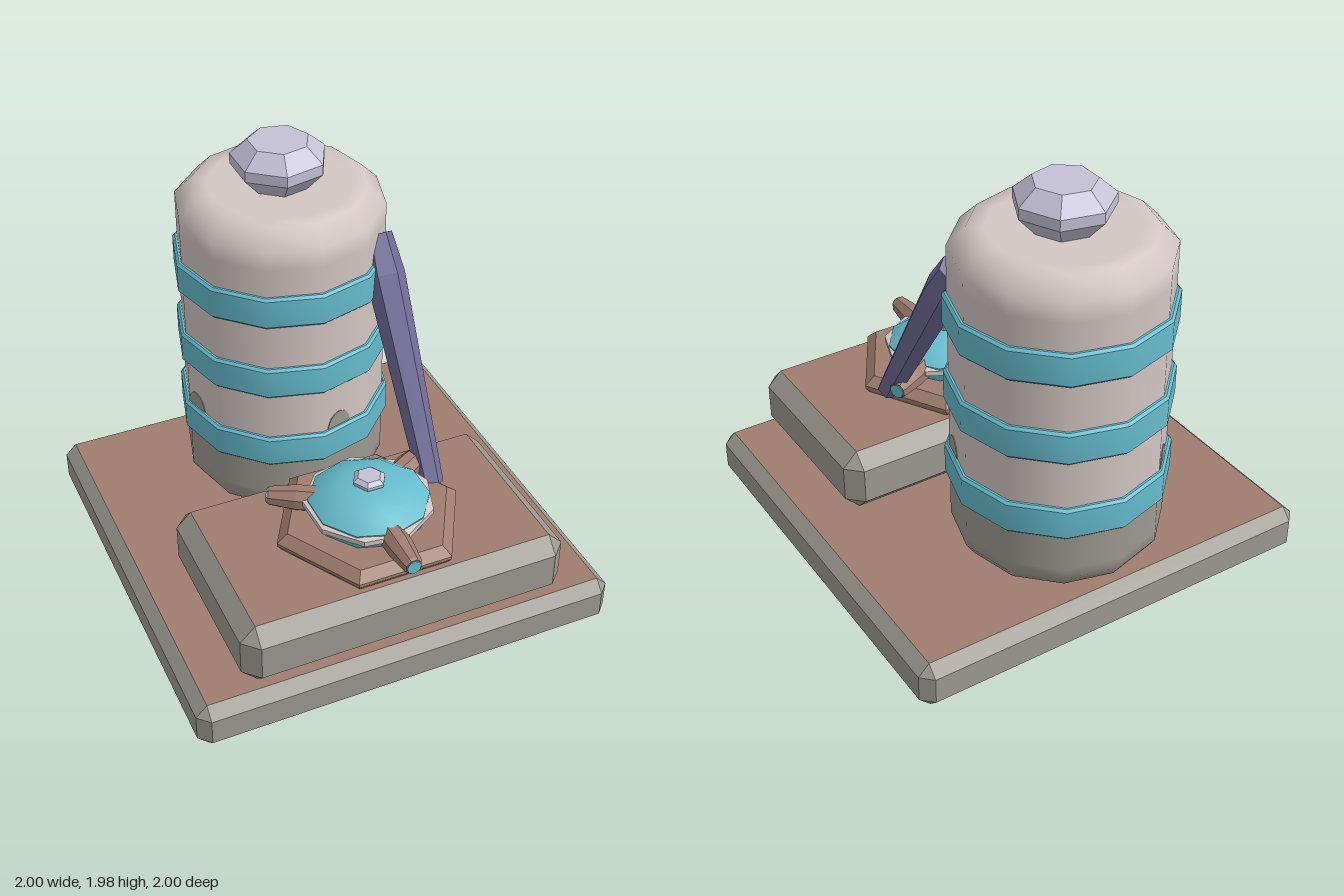
import * as THREE from 'three';
import { toCreasedNormals } from 'three/addons/utils/BufferGeometryUtils.js';
import { ConvexGeometry } from 'three/addons/geometries/ConvexGeometry.js';

const mat = (name, color) => {
  const m = new THREE.MeshStandardMaterial({ color });
  m.name = name;
  return m;
};

export function createModel() {
  const stone = mat('stone grey', 0x9c9a90);
  const clay = mat('clay brown', 0x9e7d6e);
  const shell = mat('pale shell', 0xd3c6c3);
  const teal = mat('teal', 0x66bccd);
  const lavender = mat('lavender', 0xc4c1d6);
  const purple = mat('purple', 0x706c98);

  const model = new THREE.Group();
  model.name = 'model';
  const add = (name, geometry, material, parent = model) => {
    const mesh = new THREE.Mesh(geometry, material);
    mesh.name = name;
    parent.add(mesh);
    return mesh;
  };
  const group = (name, x, y, z, parent = model) => {
    const g = new THREE.Group();
    g.name = name;
    g.position.set(x, y, z);
    parent.add(g);
    return g;
  };

  // Turned shapes: profile points are [radius, y], bottom to top
  const turn = (profile, sides, start = 0) =>
    new THREE.LatheGeometry(profile.map(p => new THREE.Vector2(...p)), sides, start);
  const turnFlat = (profile, sides, start = 0) => {
    const g = turn(profile, sides, start).toNonIndexed();
    g.computeVertexNormals();
    return g;
  };

  // Bevelled slab with clay on its level faces and stone on the rest
  const slab = (name, w, h, d, bevel, y, z) => {
    const points = [];
    for (const sx of [-1, 1]) for (const sy of [-1, 1]) for (const sz of [-1, 1])
      for (let full = 0; full < 3; full++) {
        const inset = i => (i === full ? 0 : bevel);
        points.push(new THREE.Vector3(
          sx * (w / 2 - inset(0)), sy * (h / 2 - inset(1)), sz * (d / 2 - inset(2))));
      }
    const g = new ConvexGeometry(points);
    const normal = g.attributes.normal;
    for (let i = 0; i < normal.count; i += 3)
      g.addGroup(i, 3, Math.abs(normal.getY(i)) > 0.99 ? 1 : 0);
    add(name, g, [stone, clay]).position.set(0, y + h / 2, z);
  };
  slab('base', 2, 0.23, 2, 0.052, 0, 0);
  slab('step', 1.54, 0.31, 0.92, 0.07, 0.23, 0.5);

  // Tank: stone foot, pale body, teal bands and a faceted knob
  const tank = group('tank', 0, 0, -0.48);
  add('tankFoot', turn([[0, 0.23], [0.4, 0.23], [0.44, 0.25], [0.48, 0.31], [0.48, 0.36], [0.48, 0.62]], 12), stone, tank);
  add('tankBody', turn([[0.48, 0.62], [0.48, 1.6], [0.48, 1.69], [0.4, 1.77], [0.33, 1.77], [0, 1.77]], 12), shell, tank);
  for (const y of [0.54, 0.93, 1.31]) {
    const band = turn([[0.465, y], [0.49, y], [0.502, y + 0.012], [0.502, y + 0.145], [0.49, y + 0.157], [0.465, y + 0.157]], 12);
    add('band', toCreasedNormals(band, 0.6), teal, tank);
  }
  add('knob', turnFlat([[0, 1.76], [0.13, 1.76], [0.22, 1.86], [0.22, 1.91], [0.14, 1.98], [0, 1.98]], 7, Math.PI / 2), lavender, tank);

  // Rounded stone patches above the lowest band, laid on the flat sides
  const patchShape = new THREE.Shape();
  patchShape.moveTo(0.065, 0);
  patchShape.absellipse(0, 0, 0.065, 0.09, 0, Math.PI, false, 0);
  patchShape.closePath();
  const patchGeometry = new THREE.ExtrudeGeometry(patchShape, { depth: 0.007, bevelEnabled: false, curveSegments: 6 });
  for (const [faceDeg, offset] of [[15, -0.06], [75, -0.03], [165, -0.06], [225, -0.05]]) {
    const side = group('patchSide', 0, 0, 0, tank);
    side.rotation.y = Math.PI / 2 - THREE.MathUtils.degToRad(faceDeg);
    add('patch', patchGeometry, stone, side).position.set(offset, 0.685, 0.46);
  }

  // Valve on the step: hexagonal plate, rim, dome and cap
  const valve = group('valve', 0, 0, 0.5);
  add('plate', turnFlat([[0, 0.54], [0.42, 0.54], [0.44, 0.565], [0.44, 0.58], [0.39, 0.62], [0, 0.62]], 6, Math.PI / 2), clay, valve);
  add('dome', toCreasedNormals(
    turn([[0.25, 0.61], [0.268, 0.65], [0.272, 0.7], [0.2, 0.752], [0.12, 0.782], [0, 0.787]], 10), 0.7), teal, valve);
  add('rim', turnFlat([[0.25, 0.66], [0.292, 0.665], [0.292, 0.69], [0.25, 0.698]], 9, 0.2), shell, valve);
  add('cap', turnFlat([[0, 0.775], [0.065, 0.775], [0.077, 0.795], [0.077, 0.805], [0.055, 0.822], [0, 0.822]], 6, Math.PI / 2), lavender, valve);

  // Three nozzles around the dome, each with a teal end
  for (let i = 0; i < 3; i++) {
    const nozzle = group('nozzle', 0, 0.663, 0, valve);
    nozzle.rotation.y = i * Math.PI * 2 / 3;
    const pipe = turnFlat([[0, 0.18], [0.06, 0.18], [0.06, 0.32], [0.044, 0.44], [0.038, 0.45], [0, 0.45]], 8, Math.PI / 8);
    add('nozzlePipe', pipe.rotateX(Math.PI / 2), clay, nozzle);
    const end = new THREE.CylinderGeometry(0.034, 0.034, 0.006, 8);
    add('nozzleEnd', end.rotateX(Math.PI / 2), teal, nozzle).position.z = 0.452;
  }

  // Slanted lever from the plate up to the tank
  const foot = new THREE.Vector3(0.355, 0.585, 0.415);
  const tip = new THREE.Vector3(0.36, 1.555, -0.22);
  const axis = tip.clone().sub(foot);
  const length = axis.length();
  const lever = add('lever', turnFlat(
    [[0, 0], [0.058, 0], [0.09, length * 0.84], [0.07, length], [0, length]], 6, Math.PI / 12), purple);
  lever.position.copy(foot);
  lever.quaternion.setFromUnitVectors(new THREE.Vector3(0, 1, 0), axis.normalize());

  return model;
}
